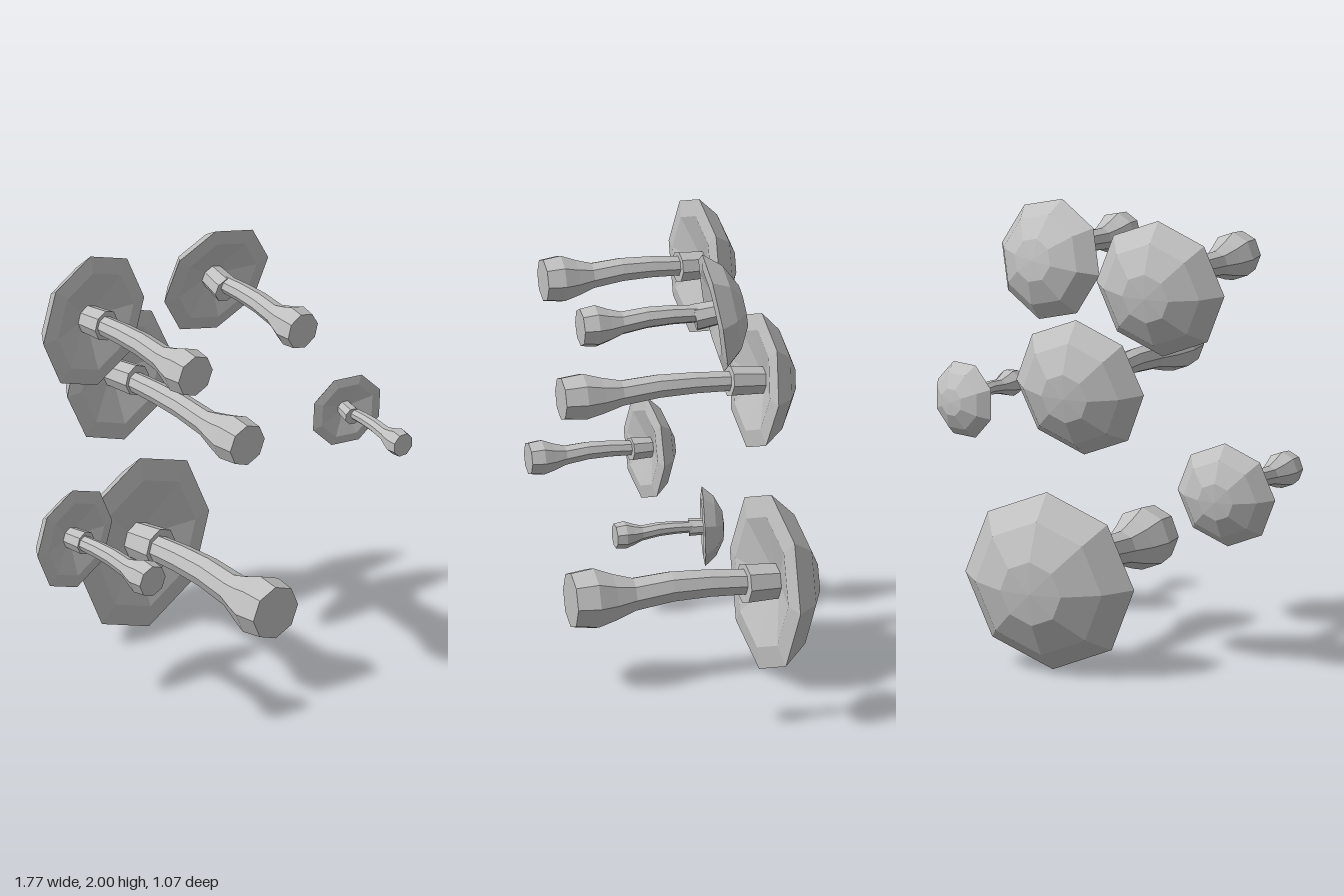
import * as THREE from 'three';

const SIDES = 8;
const GROUND = 0.533; // z of every stem base; the mushrooms grow towards -z

// Eight-sided turned solid along -z; profile points are [radius, height]
function turned(profile, phi) {
  const points = profile.map(([r, h]) => new THREE.Vector2(r, h));
  return new THREE.LatheGeometry(points, SIDES, phi).rotateX(-Math.PI / 2);
}

// Stem rows: fraction of length, radius and sideways bend (both relative to the cap radius)
const STEM = [
  [0, 0.31, 0], [0.13, 0.345, 0], [0.24, 0.27, -0.01], [0.36, 0.19, 0],
  [0.58, 0.175, 0.05], [0.8, 0.16, 0.05], [1.06, 0.145, 0.02],
];

function makeStem(m, length, phi) {
  const profile = [[0, 0], ...STEM.map(([t, r]) => [r * m.R, t * length])];
  const geometry = turned(profile, phi);
  const pos = geometry.attributes.position;
  const rows = profile.length;
  for (let i = 0; i < pos.count; i++) {
    const [t, , bend] = STEM[Math.max(0, (i % rows) - 1)];
    pos.setXYZ(
      i,
      pos.getX(i) + m.base[0] + (m.cap[0] - m.base[0]) * t,
      pos.getY(i) + m.base[1] + (m.cap[1] - m.base[1]) * t + bend * m.R,
      pos.getZ(i) + GROUND,
    );
  }
  return geometry;
}

function makeMushroom(m, material) {
  const group = new THREE.Group();
  const { R } = m;
  const phi = THREE.MathUtils.degToRad(m.turn);
  const add = (parent, name, geometry) => {
    const mesh = new THREE.Mesh(geometry, material);
    mesh.name = name;
    parent.add(mesh);
  };

  add(group, 'stem', makeStem(m, GROUND - m.collarZ, phi));

  // Tilted head: hollow underside, rim, stepped dome
  const head = new THREE.Group();
  head.name = 'head';
  head.position.set(...m.cap);
  const up = new THREE.Vector3(m.tilt[0], m.tilt[1], -1).normalize();
  head.quaternion.setFromUnitVectors(new THREE.Vector3(0, 0, -1), up);
  const cap = [[0, 0.16], [0.75, -0.04], [1, 0], [0.75, 0.285], [0.36, 0.49], [0, 0.52]];
  add(head, 'cap', turned(cap.map(([r, h]) => [r * R, h * R]), phi));

  // Collar under the cap
  const low = m.cap[2] - m.collarZ;
  add(head, 'collar', turned([[0, low], [0.225 * R, low], [0.2 * R, 0.2 * R], [0, 0.2 * R]], phi));
  group.add(head);
  return group;
}

export function createModel() {
  const model = new THREE.Group();
  model.name = 'mushrooms';
  const grey = new THREE.MeshStandardMaterial({ color: 0xc0c0c0, flatShading: true });
  grey.name = 'grey';

  // base: stem foot (x, y); cap: rim centre; tilt: rim slope along x and y
  const mushrooms = [
    { name: 'largeMushroom', base: [0.02, 0.415], cap: [0.005, 0.4, -0.328], R: 0.396, tilt: [-0.12, -0.07], collarZ: -0.23, turn: 0 },
    { name: 'upperRightMushroom', base: [-0.42, 1.71], cap: [-0.43, 1.7, -0.137], R: 0.303, tilt: [-0.1, -0.07], collarZ: -0.06, turn: 0 },
    { name: 'upperLeftMushroom', base: [0.17, 1.725], cap: [0.173, 1.728, -0.052], R: 0.265, tilt: [0.09, 0.16], collarZ: 0.03, turn: -7 },
    { name: 'middleMushroom', base: [-0.135, 1.278], cap: [-0.142, 1.268, -0.32], R: 0.305, tilt: [-0.08, -0.115], collarZ: -0.205, turn: 0 },
    { name: 'lowerRightMushroom', base: [-0.655, 0.8], cap: [-0.662, 0.792, 0.02], R: 0.229, tilt: [-0.12, -0.055], collarZ: 0.085, turn: 0 },
    { name: 'smallMushroom', base: [0.72, 0.985], cap: [0.727, 0.99, 0.145], R: 0.17, tilt: [0.22, 0.03], collarZ: 0.207, turn: 24 },
  ];
  for (const m of mushrooms) {
    const mushroom = makeMushroom(m, grey);
    mushroom.name = m.name;
    model.add(mushroom);
  }
  return model;
}
